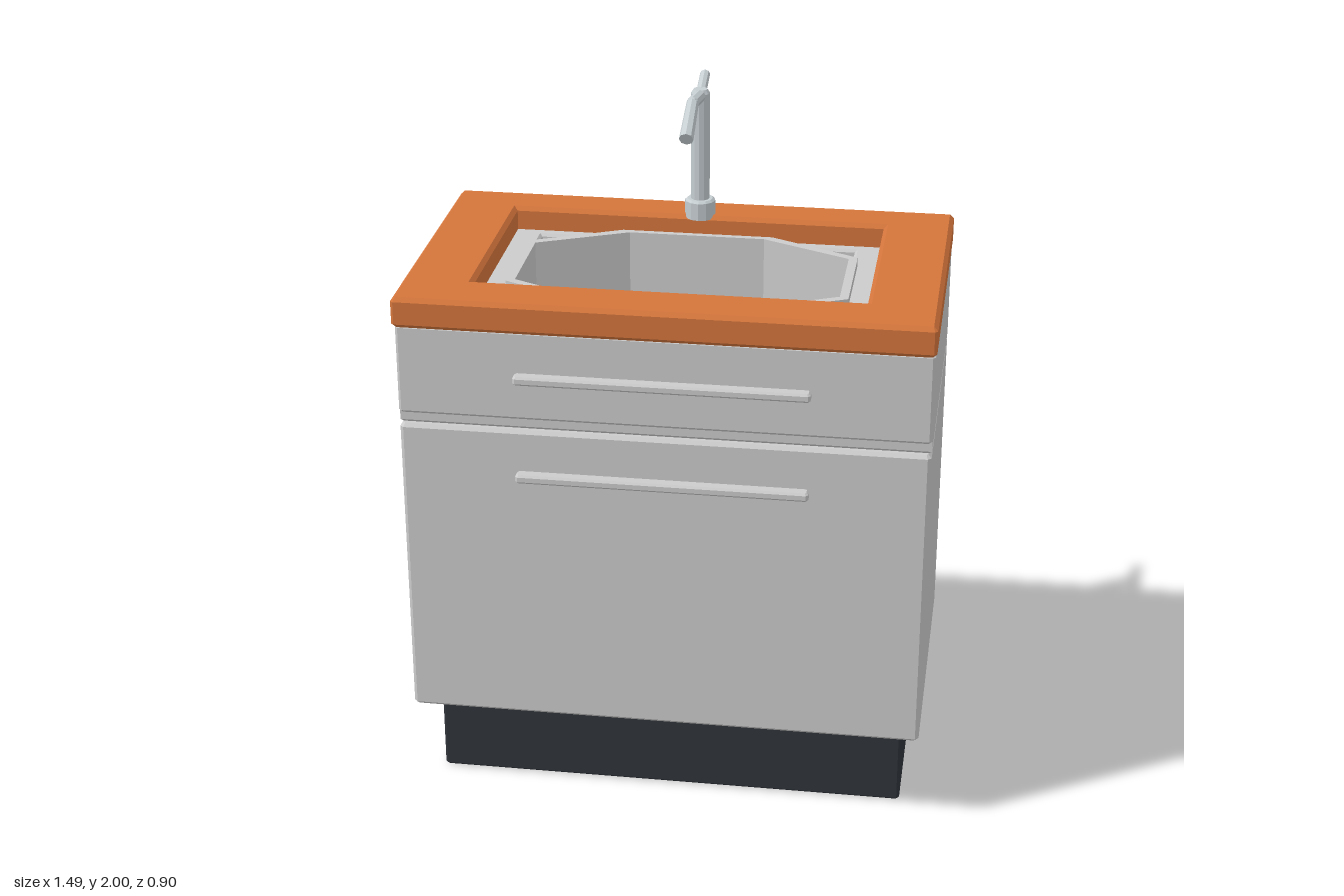
import * as THREE from 'three';

const mat = (color) => new THREE.MeshStandardMaterial({ color });
const grey = mat(0xcccccc);
const wood = mat(0xd4753b);
const black = mat(0x2f343a);
const metal = mat(0xc6ced2);
const steel = mat(0x9aa2a5);
metal.flatShading = steel.flatShading = true;

// Counter-clockwise path from [x, z] corners, so that opening walls face inwards
const toPath = (points, Type = THREE.Shape) =>
  new Type(points.map(([x, z]) => new THREE.Vector2(x, -z)).reverse());

// Rectangle corners, optionally with clipped corners
function rect(x0, x1, z0, z1, c = 0) {
  if (!c) return [[x0, z0], [x1, z0], [x1, z1], [x0, z1]];
  return [
    [x0 + c, z0], [x1 - c, z0], [x1, z0 + c], [x1, z1 - c],
    [x1 - c, z1], [x0 + c, z1], [x0, z1 - c], [x0, z0 + c],
  ];
}

// Elongated octagon used for the basin
const octagon = (hx, hz, cx, cz) => [
  [-cx, -hz], [cx, -hz], [hx, -cz], [hx, cz],
  [cx, hz], [-cx, hz], [-hx, cz], [-hx, -cz],
];

// Plan outline raised from y0 to y1 with chamfered rims and an optional opening
function slab(name, material, outline, y0, y1, bevel, opening) {
  const shape = toPath(outline);
  if (opening) shape.holes.push(toPath(opening, THREE.Path));
  const geometry = new THREE.ExtrudeGeometry(shape, {
    depth: y1 - y0 - 2 * bevel,
    bevelEnabled: bevel > 0,
    bevelThickness: bevel,
    bevelSize: bevel,
    bevelOffset: -bevel,
    bevelSegments: 1,
  });
  geometry.rotateX(-Math.PI / 2).translate(0, y0 + bevel, 0);
  const mesh = new THREE.Mesh(geometry, material);
  mesh.name = name;
  return mesh;
}

// Faceted round bar between two points in the plane x = 0, each given as [y, z]
function rod(name, a, b, r0, r1, sides = 8, material = metal) {
  const from = new THREE.Vector3(0, ...a);
  const to = new THREE.Vector3(0, ...b);
  const dir = to.clone().sub(from);
  const mesh = new THREE.Mesh(new THREE.CylinderGeometry(r1, r0, dir.length(), sides), material);
  mesh.name = name;
  mesh.position.copy(from).lerp(to, 0.5);
  mesh.quaternion.setFromUnitVectors(new THREE.Vector3(0, 1, 0), dir.normalize());
  return mesh;
}

function createFaucet() {
  const g = new THREE.Group();
  g.name = 'faucet';
  const z = -0.345;
  // Collar on the counter and upright
  const profile = [[0, 1.58], [0.045, 1.58], [0.045, 1.632], [0.038, 1.638], [0.028, 1.638],
    [0.028, 1.96], [0.02, 1.972], [0, 1.972]];
  const body = new THREE.Mesh(
    new THREE.LatheGeometry(profile.map(([r, y]) => new THREE.Vector2(r, y)), 12), metal);
  body.name = 'faucetBody';
  body.position.z = z;
  g.add(body);
  // Bent spout and rear lever
  const bend = [1.98, -0.18];
  g.add(rod('spoutArm', [1.952, z], bend, 0.018, 0.018));
  g.add(rod('spoutNozzle', bend, [1.915, -0.052], 0.018, 0.021));
  g.add(rod('lever', [1.952, z], [1.988, -0.442], 0.015, 0.015));
  const joint = new THREE.Mesh(new THREE.SphereGeometry(0.018, 8, 6), metal);
  joint.name = 'spoutJoint';
  joint.position.set(0, ...bend);
  g.add(joint);
  return g;
}

export function createModel() {
  const model = new THREE.Group();
  model.name = 'sinkCabinet';

  // Plinth and lower cabinet
  model.add(slab('plinth', black, rect(-0.69, 0.69, -0.41, 0.29, 0.008), 0, 0.295, 0.008));
  model.add(slab('lowerCabinet', grey, rect(-0.744, 0.744, -0.446, 0.416, 0.01), 0.285, 1.2, 0.01));

  // Upper cabinet, hollow around the basin, and its drawer front
  model.add(slab('upperCabinet', grey, rect(-0.744, 0.744, -0.446, 0.402), 1.2, 1.52, 0.008,
    rect(-0.467, 0.467, -0.284, 0.284)));
  model.add(slab('drawerFront', grey, rect(-0.744, 0.744, 0.38, 0.418, 0.008), 1.235, 1.5, 0.008));

  // Long bar handles
  for (const y of [1.364, 1.064]) {
    model.add(slab('handle', grey, rect(-0.412, 0.412, 0.411, 0.449, 0.007), y - 0.013, y + 0.013, 0.006));
  }

  // Countertop with its opening
  model.add(slab('countertop', wood, rect(-0.747, 0.747, -0.448, 0.443, 0.008), 1.5, 1.59, 0.012,
    rect(-0.547, 0.547, -0.316, 0.283)));

  // Basin wall, floor and drain
  model.add(slab('basinWall', grey, octagon(0.485, 0.289, 0.222, 0.16), 1.21, 1.545, 0,
    octagon(0.46, 0.27, 0.2, 0.146)));
  model.add(slab('basinFloor', grey, octagon(0.47, 0.28, 0.21, 0.153), 1.205, 1.23, 0));
  model.add(rod('drain', [1.225, 0], [1.24, 0], 0.054, 0.05, 10, steel));

  model.add(createFaucet());
  return model;
}
